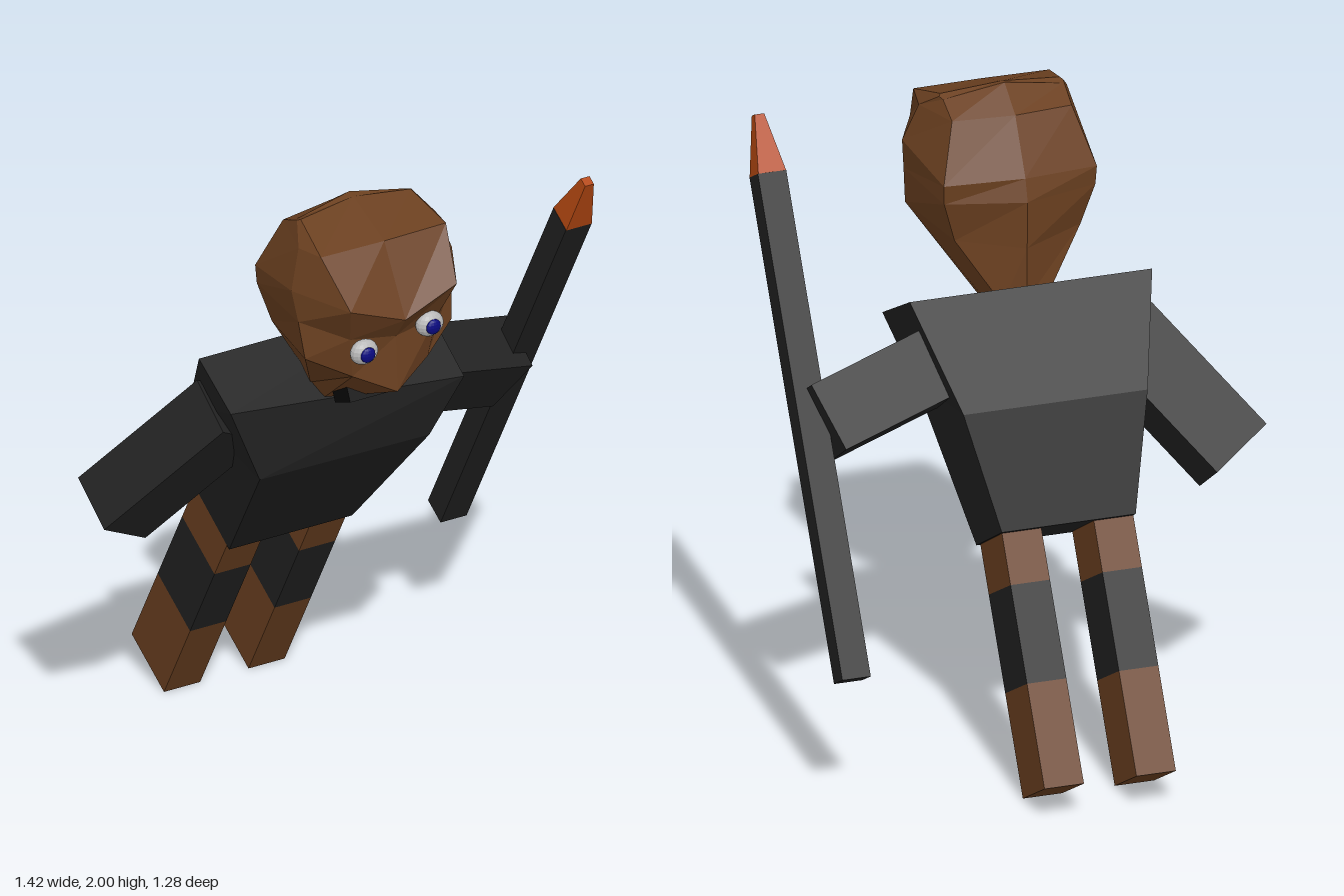
import * as THREE from 'three';

const mat = (color) => new THREE.MeshStandardMaterial({ color, flatShading: true });
const skin = mat(0x6b4020), dark = mat(0x222222), orange = mat(0xb34711);
const white = mat(0xb8b8b8), blue = mat(0x0a0a80), black = mat(0x080808);

const LEAN = 0.506; // whole figure leans forward

function part(parent, name, geometry, material) {
  const m = new THREE.Mesh(geometry, material);
  m.name = name;
  parent.add(m);
  return m;
}

// Skin between rings of corners (bottom to top, front -> +x -> back -> -x), capped at both ends
function loft(rings) {
  const pos = [], n = rings[0].length;
  const tri = (...p) => p.forEach((v) => pos.push(...v));
  for (let i = 0; i < rings.length - 1; i++) {
    for (let j = 0; j < n; j++) {
      const k = (j + 1) % n;
      const a = rings[i][j], b = rings[i][k], c = rings[i + 1][k], d = rings[i + 1][j];
      tri(a, b, c);
      tri(a, c, d);
    }
  }
  const lo = rings[0], hi = rings[rings.length - 1];
  for (let j = 1; j < n - 1; j++) {
    tri(lo[0], lo[j + 1], lo[j]);
    tri(hi[0], hi[j], hi[j + 1]);
  }
  const g = new THREE.BufferGeometry();
  g.setAttribute('position', new THREE.Float32BufferAttribute(pos, 3));
  g.computeVertexNormals();
  return g;
}

// Block spanned by three edges from one corner
function block(corner, e1, e2, e3) {
  const [o, a, b, c] = [corner, e1, e2, e3].map((v) => new THREE.Vector3(...v));
  const g = new THREE.BoxGeometry(1, 1, 1).translate(0.5, 0.5, 0.5);
  return g.applyMatrix4(new THREE.Matrix4().makeBasis(a, b, c).setPosition(o));
}

export function createModel() {
  const model = new THREE.Group();
  model.name = 'figure';

  // Legs with a dark band
  [['rightLeg', -0.197], ['leftLeg', 0.095]].forEach(([name, x]) => {
    const leg = new THREE.Group();
    leg.name = name;
    leg.position.set(x, 0.055, -0.545);
    leg.rotation.x = LEAN;
    [['foot', 0, 0.32, skin], ['legBand', 0.32, 0.62, dark], ['thigh', 0.62, 0.82, skin]].forEach(([n, y0, y1, m]) => {
      part(leg, n, new THREE.BoxGeometry(0.125, y1 - y0, 0.22), m).position.y = (y0 + y1) / 2;
    });
    model.add(leg);
  });

  // Torso, slightly twisted at the shoulders
  part(model, 'torso', loft([
    [[-0.26, 0.67, -0.06], [0.165, 0.67, -0.06], [0.165, 0.8, -0.285], [-0.26, 0.8, -0.285]],
    [[-0.34, 1.08, 0.26], [0.24, 1.08, 0.27], [0.24, 1.14, -0.155], [-0.345, 1.14, -0.155]],
    [[-0.44, 1.33, 0.26], [0.32, 1.29, 0.34], [0.33, 1.43, 0.07], [-0.44, 1.43, 0.07]],
  ]), dark);

  // Arms
  part(model, 'rightArm', block([-0.715, 0.985, -0.175],
    [0, -0.105, 0.155], [0.18, -0.107, -0.065], [0.289, 0.352, 0.21]), dark);
  part(model, 'leftArm', block([0.155, 1.085, 0.11],
    [0, 0.1, -0.15], [0.069, 0.174, 0.116], [0.445, -0.12, -0.08]), dark);

  // Spear
  const spear = new THREE.Group();
  spear.name = 'spear';
  spear.position.set(0.665, 0.42, -0.355);
  spear.rotation.x = LEAN;
  part(spear, 'shaft', new THREE.BoxGeometry(0.09, 1.54, 0.085), dark).position.y = 0.77;
  const square = (h, y) => [[-h, y, h], [h, y, h], [h, y, -h], [-h, y, -h]];
  part(spear, 'spearTip', loft([square(0.044, 1.54), square(0.015, 1.72)]), orange);
  model.add(spear);

  // Head: half sections from front centre to back centre, mirrored about its own middle
  const CX = -0.052;
  const halves = [
    [[0, 1.32, 0.3], [0.08, 1.32, 0.29], [0.09, 1.34, 0.22], [0.07, 1.36, 0.12], [0, 1.37, 0.1]],
    [[0, 1.455, 0.585], [0.13, 1.52, 0.54], [0.253, 1.58, 0.47], [0.2, 1.56, 0.18], [0, 1.54, 0.095]],
    [[0, 1.64, 0.575], [0.15, 1.66, 0.56], [0.265, 1.7, 0.45], [0.24, 1.69, 0.16], [0, 1.69, 0.09]],
    [[0, 1.72, 0.632], [0.183, 1.79, 0.622], [0.277, 1.8, 0.43], [0.243, 1.75, 0.155], [0, 1.76, 0.11]],
    [[0, 1.93, 0.505], [0.216, 1.93, 0.5], [0.235, 1.92, 0.4], [0.19, 1.925, 0.23], [0, 1.93, 0.2]],
    [[0, 1.995, 0.32], [0.19, 1.975, 0.335], [0.197, 1.97, 0.325], [0.19, 1.965, 0.31], [0, 2, 0.295]],
  ];
  const head = new THREE.Group();
  head.name = 'head';
  head.position.x = CX;
  const rings = halves.map((h) => [...h, ...h.slice(1, 4).reverse().map(([x, y, z]) => [-x, y, z])]);
  part(head, 'skull', loft(rings), skin);

  // Eyes
  [['rightEye', -0.128, 1.635, 0.605], ['leftEye', 0.107, 1.66, 0.59]].forEach(([name, x, y, z]) => {
    const eye = new THREE.Group();
    eye.name = name;
    eye.position.set(x, y, z);
    part(eye, 'eyeWhite', new THREE.SphereGeometry(0.046, 16, 10), white).scale.set(1, 0.88, 0.65);
    const pupil = part(eye, 'pupil', new THREE.SphereGeometry(0.025, 14, 8), blue);
    pupil.position.z = 0.024;
    pupil.scale.z = 0.5;
    head.add(eye);
  });

  // Mouth on the sloping underside of the face
  const mouth = part(head, 'mouth', new THREE.BoxGeometry(0.167, 0.1, 0.05), black);
  mouth.position.set(-0.008, 1.385, 0.405);
  mouth.rotation.x = 1.13;
  model.add(head);

  return model;
}
